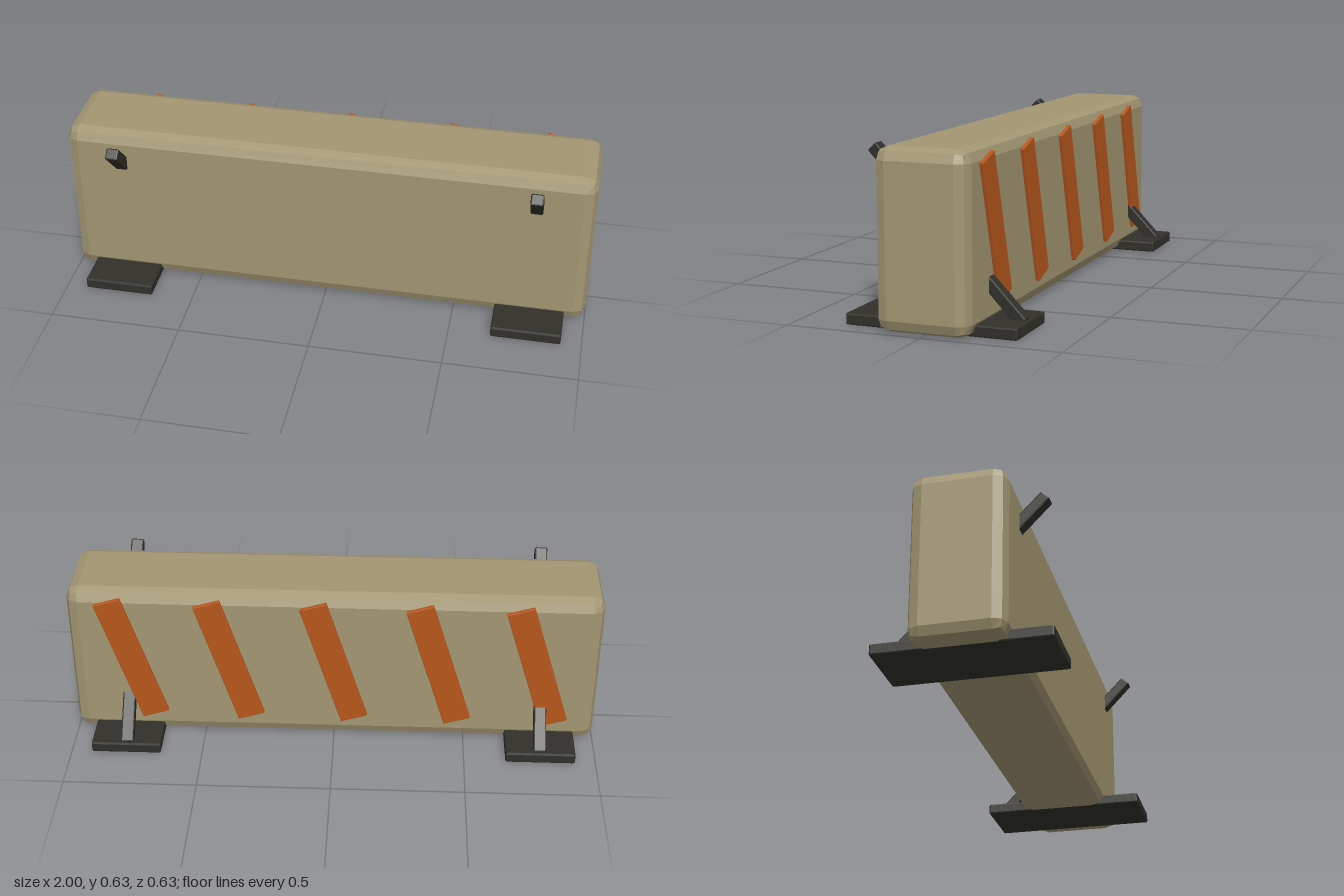
import * as THREE from 'three';
import { RoundedBoxGeometry } from 'three/addons/geometries/RoundedBoxGeometry.js';

// Box with faceted, two-step bevelled edges
function bevelBox(name, w, h, d, bevel, material) {
  const geometry = new RoundedBoxGeometry(w, h, d, 1, bevel);
  geometry.computeVertexNormals(); // not indexed, so every facet is flat
  const mesh = new THREE.Mesh(geometry, material);
  mesh.name = name;
  return mesh;
}

export function createModel() {
  const sand = new THREE.MeshStandardMaterial({ name: 'sand', color: 0xa39672 });
  const rust = new THREE.MeshStandardMaterial({ name: 'rustOrange', color: 0xb8561c });
  const iron = new THREE.MeshStandardMaterial({ name: 'darkIron', color: 0x31302a });

  const model = new THREE.Group();
  model.name = 'barrier';

  // Main block, a hair above the undersides of the feet
  const body = bevelBox('body', 2, 0.63, 0.341, 0.046, sand);
  body.position.y = 0.317;
  model.add(body);

  // Slanted warning stripes on the back
  for (const x of [-0.765, -0.395, 0, 0.395, 0.765]) {
    const stripe = bevelBox('warningStripe', 0.105, 0.527, 0.016, 0.003, rust);
    stripe.position.set(x, 0.344, -0.178);
    stripe.rotation.z = -0.3;
    model.add(stripe);
  }

  // Foot plates, each with a brace running diagonally through the block
  const top = new THREE.Vector2(0.2625, 0.605); // z, y
  const bottom = new THREE.Vector2(-0.288, 0.03);
  const run = top.clone().sub(bottom);
  for (const side of [-1, 1]) {
    const foot = bevelBox('foot', 0.264, 0.042, 0.63, 0.006, iron);
    foot.position.set(side * 0.79, 0.021, 0);
    model.add(foot);

    const brace = bevelBox('brace', 0.047, run.length(), 0.043, 0.005, iron);
    brace.position.set(side * 0.787, (top.y + bottom.y) / 2, (top.x + bottom.x) / 2);
    brace.rotation.x = Math.atan2(run.x, run.y);
    model.add(brace);
  }

  return model;
}
